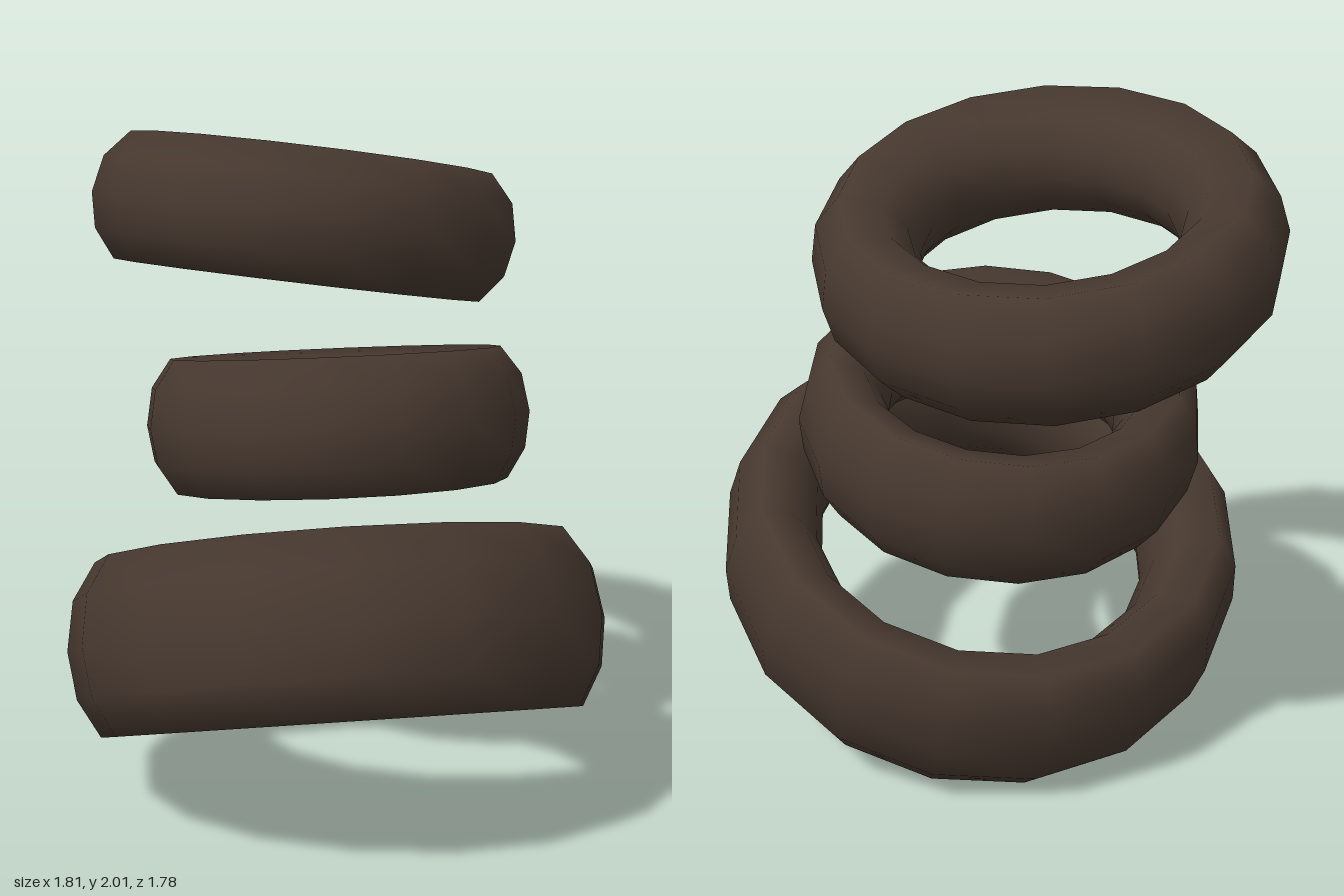
import * as THREE from 'three';
import { mergeVertices } from 'three/addons/utils/BufferGeometryUtils.js';

// Ring cross-section in units of tube width and half height: a rounded outer
// wall, rims near the outside, and an inner wall that narrows to a waist.
const SECTION = [
  [-1, 0], [-0.82, -0.42], [-0.42, -0.75], [0.42, -0.95], [0.86, -0.53],
  [1, 0], [0.84, 0.55], [0.36, 0.955], [-0.42, 0.78], [-0.82, 0.42], [-1, 0],
];

export function createModel() {
  const group = new THREE.Group();
  group.name = 'floatingRings';

  const darkBrown = new THREE.MeshStandardMaterial({ color: 0x46382f });
  darkBrown.name = 'darkBrown';

  // One ring: the section turned around an upright axis, rotated by phase,
  // then leaned so that its axis points along (leanX, up, leanZ).
  function addRing({ name, center, radius, tube, halfHeight, phase, leanX, leanZ }) {
    const profile = SECTION.map(([u, v]) => new THREE.Vector2(radius + u * tube, v * halfHeight));
    const lathe = new THREE.LatheGeometry(profile, 16);
    // Weld the seams so the shading is smooth all round
    lathe.deleteAttribute('uv');
    lathe.deleteAttribute('normal');
    const geometry = mergeVertices(lathe);
    geometry.computeVertexNormals();
    geometry.rotateY(-THREE.MathUtils.degToRad(phase));

    const ring = new THREE.Mesh(geometry, darkBrown);
    ring.name = name;
    const axis = new THREE.Vector3(leanX, Math.sqrt(1 - leanX * leanX - leanZ * leanZ), leanZ);
    ring.quaternion.setFromUnitVectors(new THREE.Vector3(0, 1, 0), axis);
    ring.position.set(...center);
    group.add(ring);
  }

  addRing({
    name: 'topRing', center: [-0.248, 1.7, -0.245],
    radius: 0.507, tube: 0.151, halfHeight: 0.204, phase: 0, leanX: 0, leanZ: -0.202,
  });
  addRing({
    name: 'middleRing', center: [-0.065, 1.105, -0.16],
    radius: 0.462, tube: 0.128, halfHeight: 0.212, phase: 13.5, leanX: -0.142, leanZ: -0.127,
  });
  addRing({
    name: 'bottomRing', center: [0.115, 0.51, 0.09],
    radius: 0.662, tube: 0.15, halfHeight: 0.275, phase: 6, leanX: -0.268, leanZ: -0.263,
  });

  return group;
}
